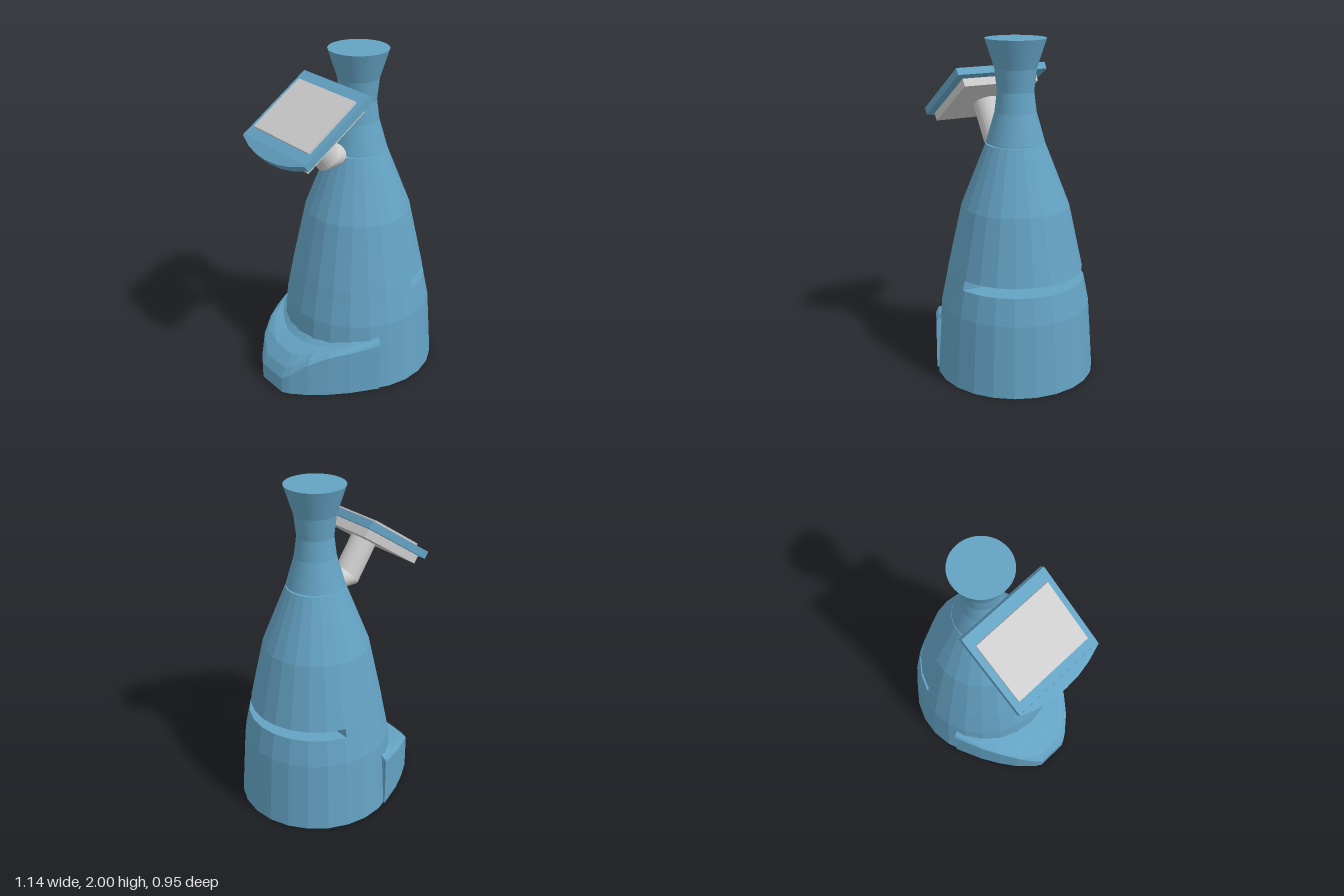
import * as THREE from 'three';

const blue = new THREE.MeshStandardMaterial({ color: 0x64a2c3, flatShading: true });
const grey = new THREE.MeshStandardMaterial({ color: 0xcccccc, flatShading: true });
const AXIS_X = 0.095; // the body stands off-centre, the foot sticks out to -x

function add(parent, name, geometry, material, x = 0, y = 0, z = 0) {
  const mesh = new THREE.Mesh(geometry, material);
  mesh.name = name;
  mesh.position.set(x, y, z);
  parent.add(mesh);
  return mesh;
}

// Closed skin over equal-length rings of [x, y, z], counter-clockwise seen from the last ring.
function loft(rings) {
  const n = rings[0].length, pos = rings.flat(2), index = [];
  for (let r = 0; r < rings.length - 1; r++) {
    for (let i = 0; i < n; i++) {
      const a = r * n + i, b = r * n + (i + 1) % n;
      index.push(a, b, b + n, a, b + n, a + n);
    }
  }
  [0, rings.length - 1].forEach((r, end) => {
    const c = pos.length / 3;
    for (let k = 0; k < 3; k++) pos.push(rings[r].reduce((s, p) => s + p[k], 0) / n);
    for (let i = 0; i < n; i++) {
      const a = r * n + i, b = r * n + (i + 1) % n;
      index.push(c, ...(end ? [a, b] : [b, a]));
    }
  });
  const g = new THREE.BufferGeometry();
  g.setAttribute('position', new THREE.Float32BufferAttribute(pos, 3));
  g.setIndex(index);
  g.computeVertexNormals();
  return g;
}

function lathe(profile, sides) {
  return new THREE.LatheGeometry(profile.map(([r, y]) => new THREE.Vector2(r, y)), sides);
}

// Core behind the slot: round at the back, cut flat on the +x side
function slotCore() {
  const ring = (r, y) => {
    const cut = Math.asin(0.095 / r);
    const angles = [Math.PI - cut];
    for (let i = 12; i <= 24; i++) angles.push(i * Math.PI / 12);
    angles.push(2 * Math.PI + cut);
    return angles.map(t => [AXIS_X + r * Math.sin(t), y, r * Math.cos(t)]);
  };
  return loft([ring(0.413, 0.59), ring(0.403, 0.645)]);
}

// Foot: upright wall with a falling rim, then a rounded top running into the body
function foot() {
  const half = [ // x, z, rim height
    [-0.09, 0.445, 0.31], [-0.26, 0.367, 0.285], [-0.37, 0.3, 0.265],
    [-0.47, 0.225, 0.215], [-0.55, 0.14, 0.13], [-0.575, 0.1, 0.1],
  ];
  const outline = [...half.map(([x, z, h]) => [x, -z, h]), [-0.575, 0, 0.1], ...half.slice().reverse()];
  const slope = [[0, 0], [0.15, 0.33], [0.45, 0.7], [0.9, 0.92]]; // inward, upward
  const rings = [outline.map(([x, z]) => [x, 0, z])];
  const scaled = (x, z, r, y) => {
    const s = r / Math.hypot(x - AXIS_X, z);
    return [AXIS_X + (x - AXIS_X) * s, y, z * s];
  };
  for (const [t, u] of slope) {
    rings.push(outline.map(([x, z, h]) => {
      const r = THREE.MathUtils.lerp(Math.hypot(x - AXIS_X, z), 0.463, t);
      const top = Math.max(0.285, h + 0.03);
      return scaled(x, z, r, THREE.MathUtils.lerp(h, top, u));
    }));
  }
  rings.push(outline.map(([x, z, h]) => scaled(x, z, 0.435, Math.max(0.32, h + 0.06))));
  return loft(rings);
}

// Bent arm with a mitred elbow; each section has a centre and a half-width vector
function arm() {
  const sections = [
    [0.06, 1.41, 0, 0.075], [-0.138, 1.395, 0.053, 0.065], [-0.272, 1.594, 0.065, 0.044],
  ];
  return loft(sections.map(([x, y, hx, hy]) => {
    const ring = [];
    for (let i = 0; i < 28; i++) {
      const t = i * Math.PI / 14, c = Math.cos(t);
      ring.push([x + hx * c, y + hy * c, -0.078 * Math.sin(t)]);
    }
    return ring;
  }));
}

// Bowed lip under the lower edge of the screen frame
function lip() {
  const shape = new THREE.Shape();
  shape.moveTo(0.01, -0.293);
  [[0, -0.293], [-0.04, -0.19], [-0.06, -0.1], [-0.066, 0], [-0.06, 0.1], [-0.04, 0.19], [0, 0.293], [0.01, 0.293]]
    .forEach(([x, z]) => shape.lineTo(x, z));
  return new THREE.ExtrudeGeometry(shape, { depth: 0.045, bevelEnabled: false }).rotateX(Math.PI / 2);
}

export function createModel() {
  const model = new THREE.Group();
  model.name = 'kioskRobot';

  // Tapered body, split by the slot
  add(model, 'lowerBody', lathe([[0, 0], [0.475, 0], [0.445, 0.43], [0.413, 0.59], [0, 0.59]], 24), blue, AXIS_X);
  add(model, 'slotCore', slotCore(), blue);
  add(model, 'upperBody', lathe([[0, 0.645], [0.403, 0.645], [0.319, 1.03], [0.175, 1.396], [0, 1.396]], 24), blue, AXIS_X);

  // Flared neck above a thin groove
  add(model, 'neckGroove', new THREE.CylinderGeometry(0.153, 0.153, 0.03, 48), blue, AXIS_X, 1.4);
  add(model, 'neck', lathe([[0, 1.405], [0.172, 1.405], [0.122, 1.58], [0.107, 1.7], [0.122, 1.83], [0.177, 2], [0, 2]], 48), blue, AXIS_X);

  add(model, 'foot', foot(), blue);
  add(model, 'screenArm', arm(), grey);

  // Tilted screen head, its origin on the frame's upper face
  const head = new THREE.Group();
  head.name = 'screenHead';
  head.position.set(-0.29, 1.683, 0);
  head.rotation.z = 0.59;
  model.add(head);
  add(head, 'screenFrame', new THREE.BoxGeometry(0.53, 0.045, 0.59), blue, 0, -0.0225);
  add(head, 'screen', new THREE.BoxGeometry(0.386, 0.03, 0.514), grey, 0, 0);
  add(head, 'screenBack', new THREE.BoxGeometry(0.47, 0.05, 0.49), grey, -0.022, -0.07);
  add(head, 'screenLip', lip(), blue, -0.265).rotation.z = 0.14;

  return model;
}
